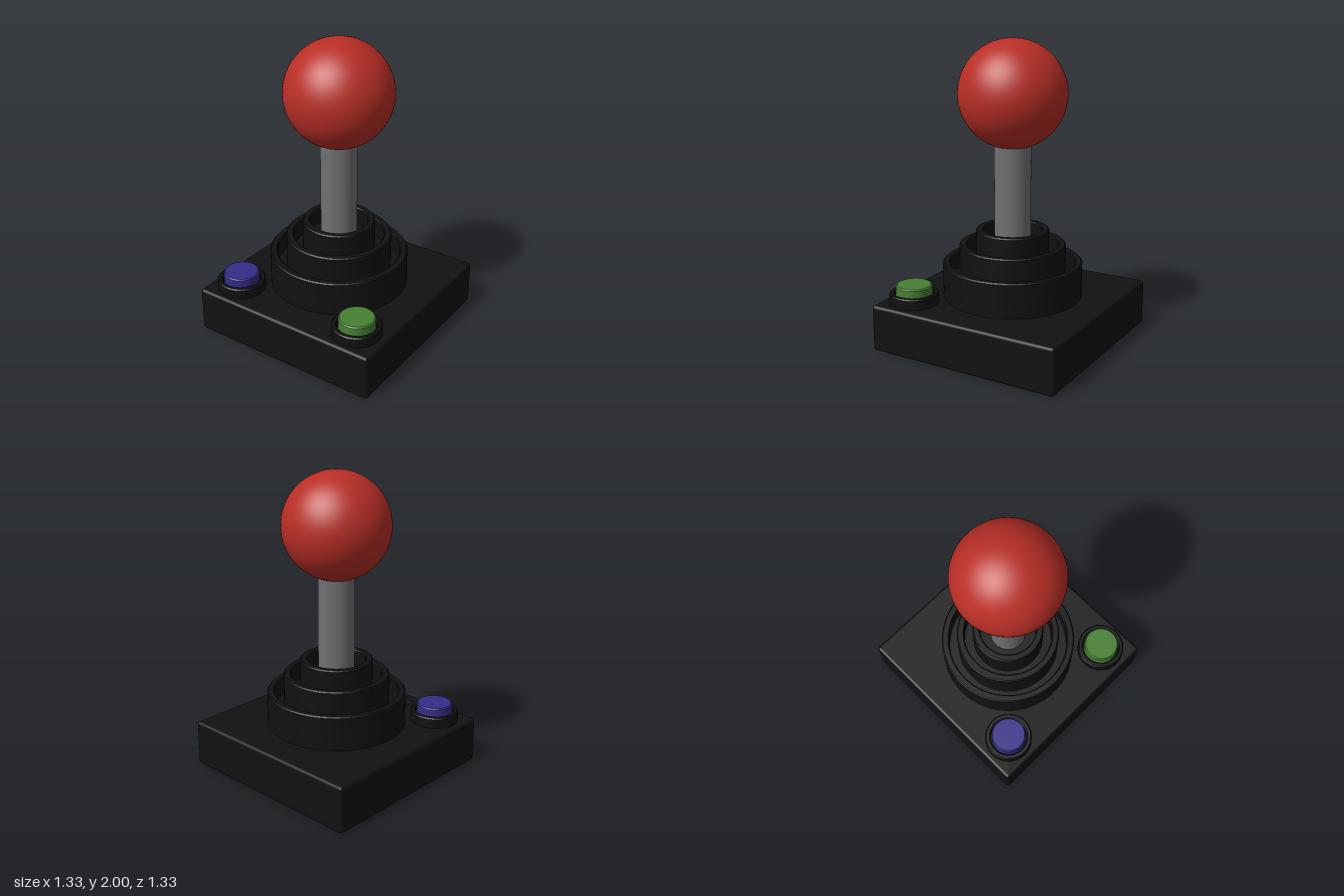
import * as THREE from 'three';
import { RoundedBoxGeometry } from 'three/addons/geometries/RoundedBoxGeometry.js';
import { toCreasedNormals } from 'three/addons/utils/BufferGeometryUtils.js';

const paint = (color) => new THREE.MeshStandardMaterial({ color });
const black = paint(0x111111), red = paint(0xb82e26), steel = paint(0x707070);
const blue = paint(0x352c88), green = paint(0x468033);

// Turned part: profile of [radius, height] points, from bottom to top
function turned(name, profile, material, x = 0, z = 0) {
  const points = profile.map(([r, y]) => new THREE.Vector2(r, y));
  const geometry = toCreasedNormals(new THREE.LatheGeometry(points, 64), 0.5);
  const mesh = new THREE.Mesh(geometry, material);
  mesh.name = name;
  mesh.position.set(x, 0, z);
  return mesh;
}

// Cup with a softened rim and a recessed floor
function collar(name, outer, inner, bottom, floor, top, x, z) {
  const b = 0.008;
  return turned(name, [
    [0, bottom], [outer, bottom], [outer, top - b], [outer - b, top],
    [inner + b, top], [inner, top - b], [inner, floor], [0, floor],
  ], black, x, z);
}

export function createModel() {
  const model = new THREE.Group();

  // Square base
  const base = new THREE.Mesh(new RoundedBoxGeometry(1.33, 0.31, 1.33, 3, 0.02), black);
  base.name = 'base';
  base.position.y = 0.155;
  model.add(base);

  // Three nested collars
  model.add(
    collar('lowerCollar', 0.46, 0.41, 0.29, 0.42, 0.54),
    collar('middleCollar', 0.35, 0.30, 0.41, 0.54, 0.66),
    collar('upperCollar', 0.24, 0.19, 0.53, 0.65, 0.76),
  );

  // Stick
  const shaft = new THREE.Mesh(new THREE.CylinderGeometry(0.12, 0.12, 0.8, 48), steel);
  shaft.name = 'shaft';
  shaft.position.y = 1;
  const knob = new THREE.Mesh(new THREE.SphereGeometry(0.352, 64, 40), red);
  knob.name = 'ballKnob';
  knob.position.y = 1.648;
  model.add(shaft, knob);

  // Front corner buttons in their sockets
  for (const [side, x, material] of [['left', 0.463, green], ['right', -0.463, blue]]) {
    model.add(
      collar(side + 'ButtonSocket', 0.16, 0.125, 0.29, 0.34, 0.38, x, 0.47),
      turned(side + 'Button', [
        [0, 0.33], [0.118, 0.33], [0.118, 0.422], [0.11, 0.43], [0, 0.43],
      ], material, x, 0.47),
    );
  }
  return model;
}
